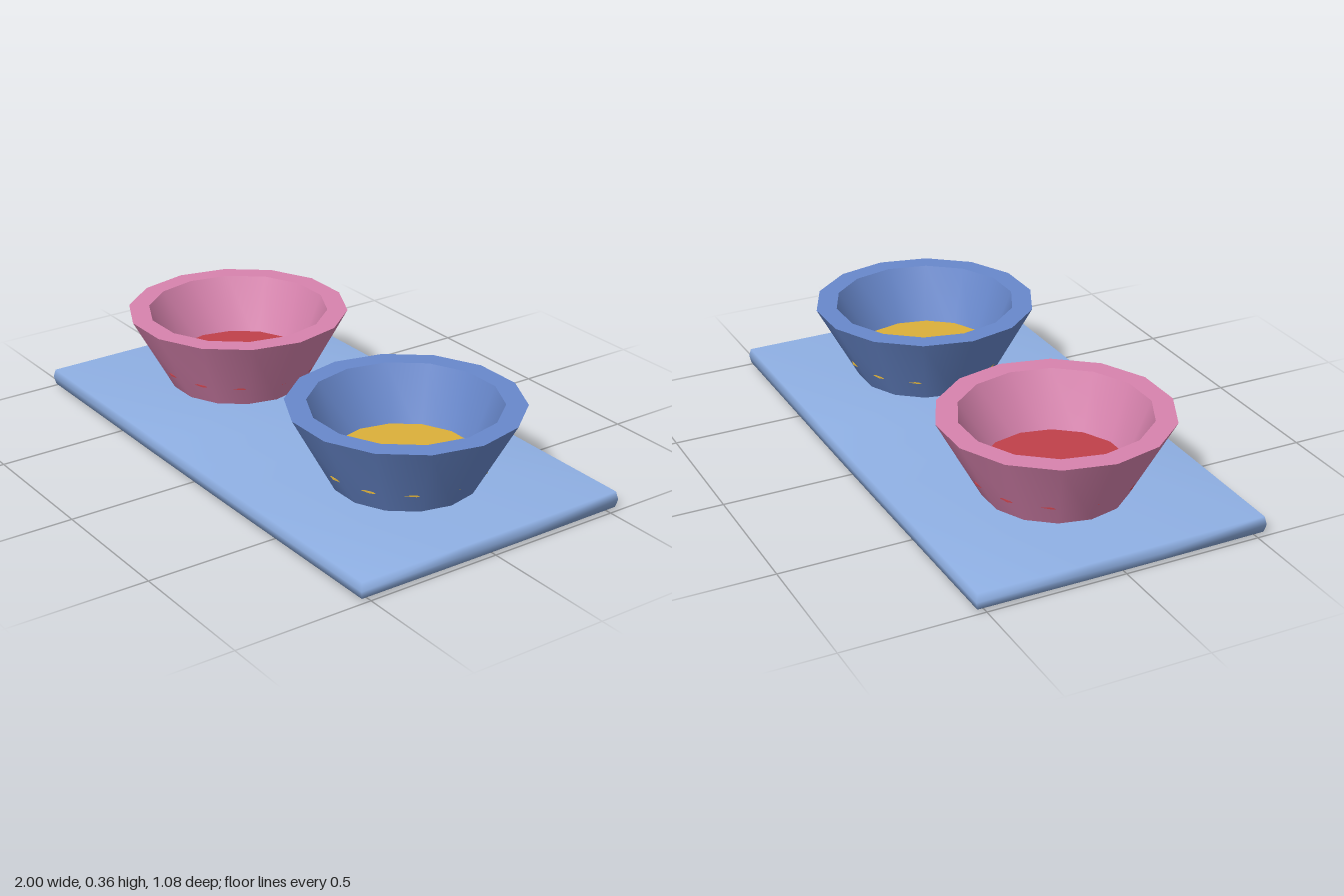
import * as THREE from 'three';
import { mergeVertices, toCreasedNormals } from 'three/addons/utils/BufferGeometryUtils.js';

const SIDES = 14;

function addMesh(parent, name, geometry, color) {
  const mesh = new THREE.Mesh(geometry, new THREE.MeshStandardMaterial({ color }));
  mesh.name = name;
  parent.add(mesh);
  return mesh;
}

// Thin slab, slightly domed above and below, with softly bulging edges
function trayGeometry() {
  let geo = new THREE.BoxGeometry(2, 2, 2, 4, 2, 4);
  geo.deleteAttribute('normal');
  geo.deleteAttribute('uv');
  geo = mergeVertices(geo);
  const pos = geo.attributes.position;
  const inset = (t) => (Math.abs(t) === 0.5 ? t * 0.52 : t);
  for (let i = 0; i < pos.count; i++) {
    const u = inset(pos.getX(i)), v = pos.getY(i), w = inset(pos.getZ(i));
    const dome = (1 - u * u) * (1 - w * w);
    const edge = Math.abs(v); // 0 along the middle of the rim
    pos.setXYZ(
      i,
      u * (1 - 0.007 * edge - 0.003 * w * w),
      0.04 + v * (0.029 + 0.011 * dome),
      w * (0.538 - 0.006 * edge - 0.004 * u * u)
    );
  }
  geo.computeVertexNormals();
  return geo;
}

// Tapered bowl with a flat rim and a hollow inside
function bowlGeometry() {
  const profile = [
    [0, 0.08], [0.255, 0.08], [0.408, 0.36], [0.333, 0.36], [0.232, 0.11], [0, 0.11],
  ].map(([r, y]) => new THREE.Vector2(r, y));
  const geo = new THREE.LatheGeometry(profile, SIDES);
  geo.rotateY(Math.PI / 2);
  return toCreasedNormals(geo, 0.7);
}

export function createModel() {
  const model = new THREE.Group();
  model.name = 'bowlsOnTray';

  addMesh(model, 'tray', trayGeometry(), 0x8fb0e4);

  // Two bowls, each with a disc of filling
  const bowls = [
    ['right', -0.513, 0xd883ae, 0xc0404a],
    ['left', 0.513, 0x6888cc, 0xdcb03a],
  ];
  for (const [side, x, bowlColor, fillColor] of bowls) {
    const group = new THREE.Group();
    group.name = side + 'BowlGroup';
    group.position.x = x;
    addMesh(group, side + 'Bowl', bowlGeometry(), bowlColor);
    const filling = addMesh(group, side + 'Filling', new THREE.CylinderGeometry(0.297, 0.297, 0.006, 12), fillColor);
    filling.position.y = 0.159;
    model.add(group);
  }
  return model;
}
